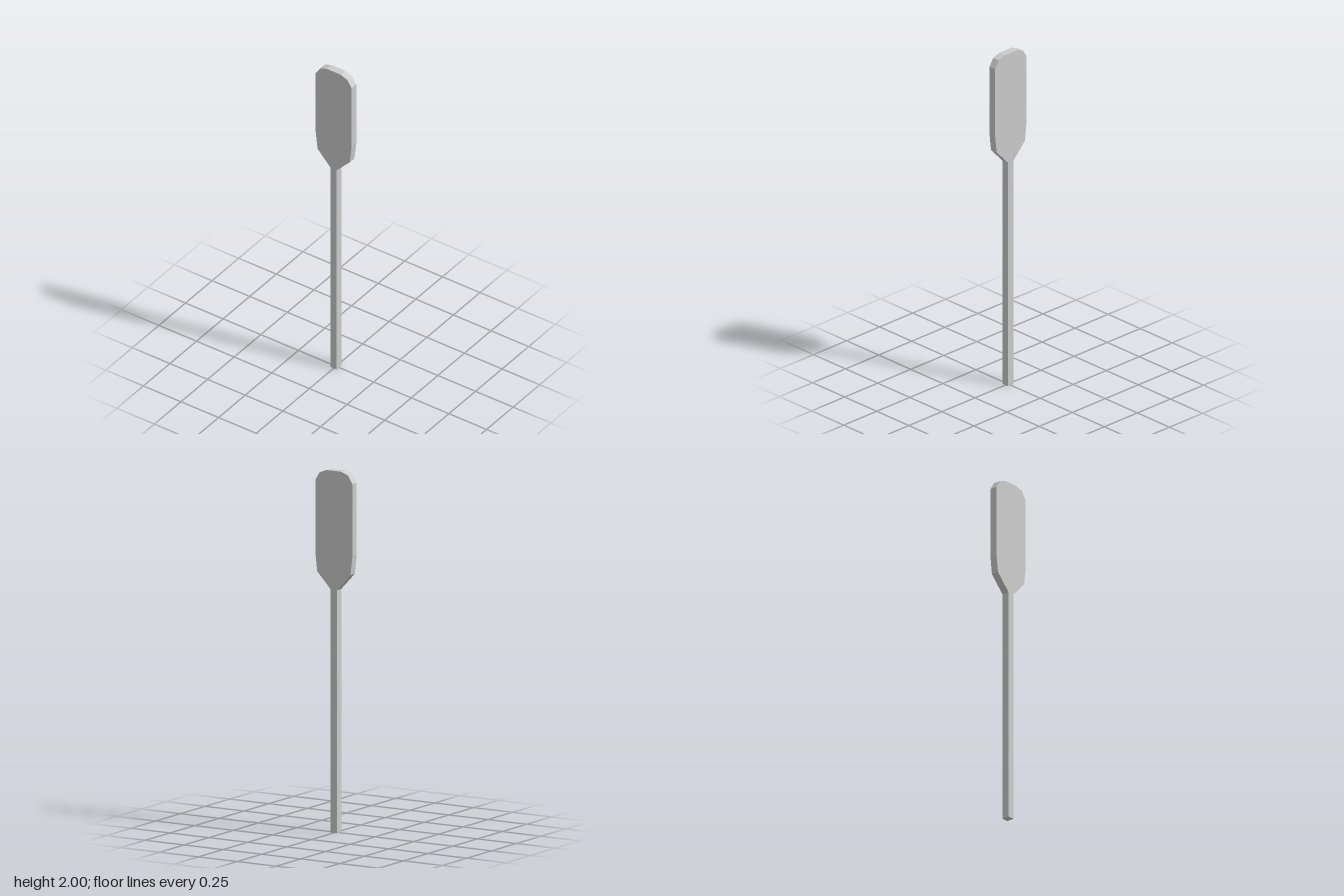
import * as THREE from 'three';

const DEPTH = 0.044;

export function createModel() {
  const group = new THREE.Group();
  group.name = 'paddle';
  const material = new THREE.MeshStandardMaterial({ color: 0xcccccc, flatShading: true });

  // Extrudes a right-hand outline (bottom to top) mirrored across x = 0
  const addSlab = (name, half) => {
    const mirrored = half.map(([x, y]) => [-x, y]).reverse();
    const shape = new THREE.Shape([...half, ...mirrored].map(([x, y]) => new THREE.Vector2(x, y)));
    const geometry = new THREE.ExtrudeGeometry(shape, { depth: DEPTH, bevelEnabled: false });
    geometry.translate(0, 0, -DEPTH / 2);
    const mesh = new THREE.Mesh(geometry, material);
    mesh.name = name;
    group.add(mesh);
  };

  // Long square shaft running into a flat blade with chamfered corners
  addSlab('shaftAndBlade', [
    [0.02, 0], [0.02, 1.343], [0.107, 1.435], [0.119, 1.54],
    [0.119, 1.94], [0.09, 1.984], [0.046, 2],
  ]);

  return group;
}
